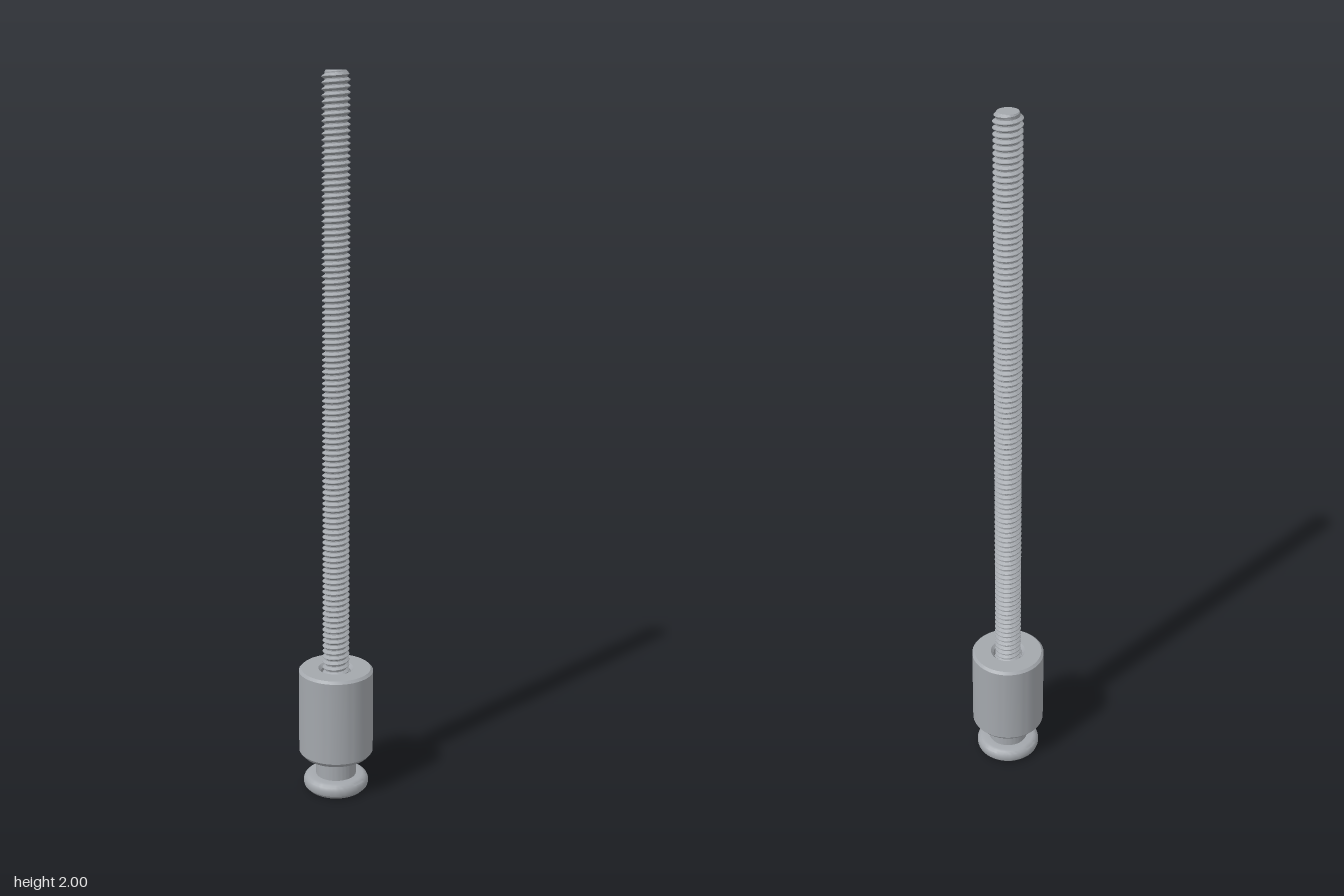
import * as THREE from 'three';
import { toCreasedNormals } from 'three/addons/utils/BufferGeometryUtils.js';

const steel = new THREE.MeshStandardMaterial({ color: 0xa3a7ac });
steel.name = 'steel';

// Turned part from a [radius, y] profile, listed so that the outside goes upwards
function turned(name, profile) {
  const points = profile.map(([r, y]) => new THREE.Vector2(r, y));
  const geometry = toCreasedNormals(new THREE.LatheGeometry(points, 64), 0.45);
  const mesh = new THREE.Mesh(geometry, steel);
  mesh.name = name;
  return mesh;
}

// Helical thread: a ridge profile swept up a right-handed helix, trimmed at both ends
function threadGeometry(bottom, top, pitch, root, crest, tip) {
  const ridge = [[0, root], [0.1, root], [0.44, crest], [0.56, crest], [0.9, root], [1, root]];
  const sides = 36;
  const turns = Math.ceil((top - bottom) / pitch) + 2;
  const positions = [];
  const point = (step, [t, r]) => {
    const angle = ((step % sides) / sides) * Math.PI * 2;
    const y = THREE.MathUtils.clamp(bottom + (step / sides + t - 2) * pitch, bottom, top);
    const radius = Math.min(r, tip + (top - y) * 0.8);
    return [Math.sin(angle) * radius, y, Math.cos(angle) * radius];
  };
  const addFace = (a, b, c) => {
    const flat = a[1] === b[1] && b[1] === c[1];
    if (!flat) positions.push(...a, ...b, ...c);
  };
  for (let s = 0; s < turns * sides; s++) {
    for (let k = 0; k < ridge.length - 1; k++) {
      const a = point(s, ridge[k]), b = point(s + 1, ridge[k]);
      const c = point(s + 1, ridge[k + 1]), d = point(s, ridge[k + 1]);
      addFace(a, b, d);
      addFace(b, c, d);
    }
  }
  const geometry = new THREE.BufferGeometry();
  geometry.setAttribute('position', new THREE.Float32BufferAttribute(positions, 3));
  return toCreasedNormals(geometry, 0.45);
}

export function createModel() {
  const model = new THREE.Group();
  model.name = 'levelingFoot';

  // Round foot pad with a softened rim
  model.add(turned('footPad', [
    [0, 0], [0.08, 0], [0.09, 0.01], [0.092, 0.016], [0.092, 0.026],
    [0.089, 0.034], [0.083, 0.04], [0.076, 0.043], [0.055, 0.043],
  ]));

  // Neck between pad and body
  model.add(turned('neck', [[0.057, 0.04], [0.057, 0.11]]));

  // Cylindrical body with chamfered rims and a countersunk hole
  model.add(turned('body', [
    [0.04, 0.105], [0.095, 0.105], [0.105, 0.117], [0.105, 0.358], [0.098, 0.365],
    [0.05, 0.365], [0.042, 0.356], [0.042, 0.335], [0, 0.335],
  ]));

  // Threaded rod
  const rod = new THREE.Group();
  rod.name = 'threadedRod';
  const thread = new THREE.Mesh(threadGeometry(0.33, 2, 0.016, 0.0295, 0.0375, 0.027), steel);
  thread.name = 'thread';
  const end = new THREE.Mesh(new THREE.CircleGeometry(0.027, 36), steel);
  end.name = 'rodEnd';
  end.rotation.x = -Math.PI / 2;
  end.position.y = 2;
  rod.add(thread, end);
  model.add(rod);

  return model;
}
